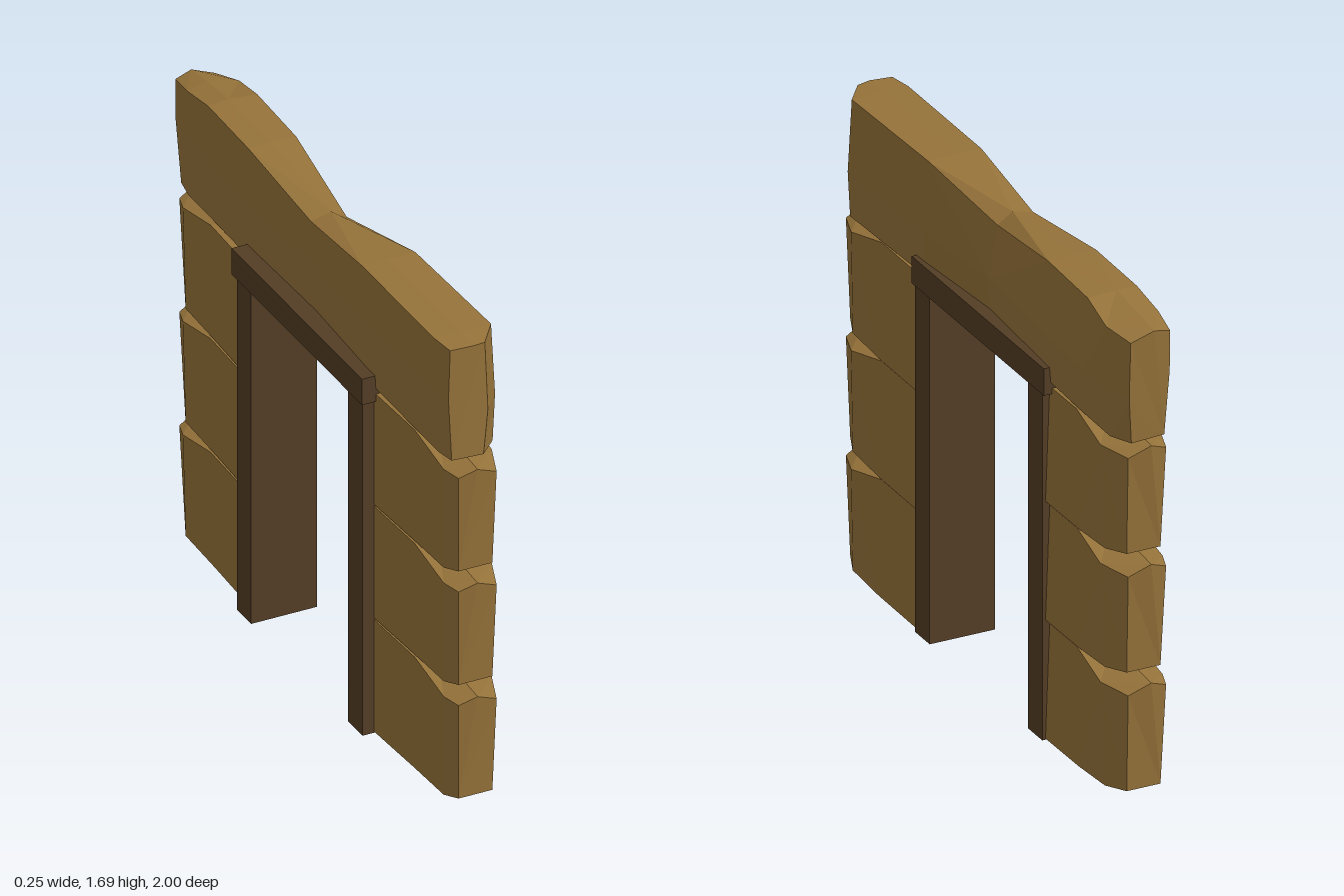
import * as THREE from 'three';

// Faceted solid through a row of rings; each ring is a list of [x, y, z] points
function loft(rings) {
  const n = rings[0].length, tris = [];
  for (let r = 0; r < rings.length - 1; r++) {
    for (let i = 0; i < n; i++) {
      const j = (i + 1) % n, a = rings[r][i], b = rings[r][j], c = rings[r + 1][j], d = rings[r + 1][i];
      if ((r + i) % 2) tris.push([a, b, c], [a, c, d]);
      else tris.push([a, b, d], [b, c, d]);
    }
  }
  const first = rings[0], last = rings[rings.length - 1];
  for (let i = 1; i < n - 1; i++) {
    tris.push([first[0], first[i + 1], first[i]], [last[0], last[i], last[i + 1]]);
  }
  // Turn all faces outward
  let volume = 0;
  for (const [a, b, c] of tris) {
    volume += new THREE.Vector3(...a).dot(new THREE.Vector3(...b).cross(new THREE.Vector3(...c)));
  }
  if (volume < 0) tris.forEach((t) => t.reverse());
  const geometry = new THREE.BufferGeometry();
  geometry.setAttribute('position', new THREE.Float32BufferAttribute(tris.flat(2), 3));
  geometry.computeVertexNormals();
  return geometry;
}

// Beam cross-section: flat underside, bulging sides, ridged top
function beamRing([zBottom, zTop, left, right, topRight, shoulder, ridge]) {
  const zMid = (zBottom + zTop) / 2;
  return [
    [left + 0.01, 1.272, zBottom],
    [right - 0.013, 1.266, zBottom],
    [right, 1.43, zMid],
    [topRight, shoulder, zTop],
    [0, ridge, zTop * 1.008],
    [left, (shoulder + ridge) / 2, zTop],
    [left - 0.004, 1.5, zMid],
  ];
}

export function createModel() {
  const model = new THREE.Group();
  model.name = 'doorway';
  const timber = new THREE.MeshStandardMaterial({ color: 0x96733a });
  timber.name = 'timber';
  timber.flatShading = true;
  const darkWood = new THREE.MeshStandardMaterial({ color: 0x533d25 });
  darkWood.name = 'dark wood';

  const add = (name, geometry, material, parent) => {
    const mesh = new THREE.Mesh(geometry, material);
    mesh.name = name;
    parent.add(mesh);
    return mesh;
  };

  // Wall blocks, rings ordered bottom left, bottom right, top right, top middle, top left
  const blockRings = [
    [[-0.05, 0.03, 0.965], [0.07, 0.03, 0.965], [0.075, 0.375, 0.985], [0, 0.41, 1], [-0.06, 0.385, 0.985]],
    [[-0.075, 0.022, 0.91], [0.105, 0.022, 0.88], [0.116, 0.385, 0.87], [0, 0.418, 0.9], [-0.08, 0.39, 0.92]],
    [[-0.075, 0.013, 0.7], [0.107, 0.013, 0.7], [0.105, 0.428, 0.68], [0, 0.43, 0.72], [-0.08, 0.428, 0.72]],
    [[-0.08, 0.003, 0.42], [0.1, 0.003, 0.42], [0.085, 0.405, 0.42], [0, 0.42, 0.42], [-0.08, 0.415, 0.42]],
  ];
  for (const [label, side, reach] of [['front', 1, 1], ['back', -1, 0.975]]) {
    const wall = new THREE.Group();
    wall.name = label + 'Wall';
    model.add(wall);
    for (let k = 0; k < 3; k++) {
      const rings = blockRings.map((ring) => ring.map(([x, y, z]) =>
        [x, y + k * 0.418, side * (z > 0.6 ? z * reach : z)]));
      add('wallBlock' + (k + 1), loft(rings), timber, wall);
    }
  }

  // Top beam: bottom z, top z, left x, right x, top right x, shoulder height, ridge height
  const beam = [
    [0.953, 0.962, -0.078, 0.058, 0.045, 1.682, 1.685],
    [0.89, 0.873, -0.09, 0.122, 0.112, 1.685, 1.687],
    [0.4, 0.37, -0.09, 0.108, 0.1, 1.685, 1.687],
    [0, -0.02, -0.072, 0.08, 0.055, 1.62, 1.655],
    [-0.42, -0.44, -0.08, 0.105, 0.09, 1.683, 1.687],
    [-0.72, -0.73, -0.075, 0.114, 0.1, 1.682, 1.69],
    [-0.89, -0.88, -0.074, 0.116, 0.112, 1.65, 1.675],
    [-0.967, -0.988, -0.06, 0.08, 0.08, 1.63, 1.66],
  ];
  add('topBeam', loft(beam.map(beamRing)), timber, model);

  // Door frame
  const frame = new THREE.Group();
  frame.name = 'doorFrame';
  model.add(frame);
  for (const [name, z] of [['frontPost', 0.386], ['backPost', -0.39]]) {
    add(name, new THREE.BoxGeometry(0.233, 1.23, 0.1), darkWood, frame).position.set(-0.0045, 0.615, z);
  }
  add('lintel', new THREE.BoxGeometry(0.247, 0.095, 0.91), darkWood, frame).position.set(-0.0055, 1.2725, -0.007);

  return model;
}
